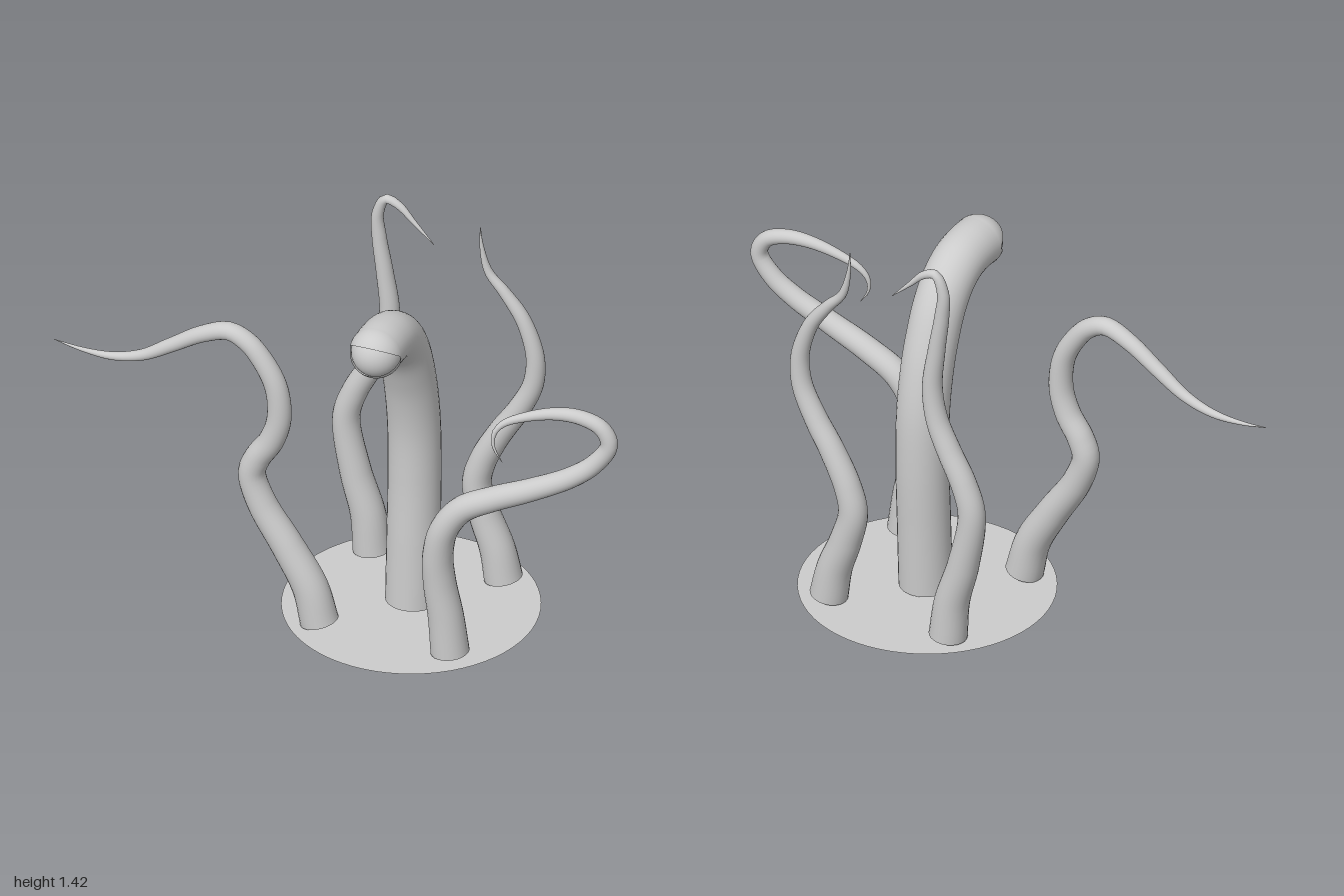
import * as THREE from 'three';

const material = new THREE.MeshStandardMaterial({ color: 0xcccccc });
const thin = new THREE.MeshStandardMaterial({ color: 0xcccccc, side: THREE.DoubleSide });

// Radius along a tentacle: [fraction of length, radius]
const TAPER = [[0, 0.065], [0.12, 0.057], [0.29, 0.047], [0.45, 0.041], [0.6, 0.034],
  [0.78, 0.024], [0.9, 0.013], [1, 0.001]];

function radiusAt(profile, u) {
  let i = 1;
  while (i < profile.length - 1 && u > profile[i][0]) i++;
  const [u0, r0] = profile[i - 1], [u1, r1] = profile[i];
  return THREE.MathUtils.lerp(r0, r1, (u - u0) / (u1 - u0));
}

// Smooth tube whose rings follow a radius profile
function taperedTube(name, points, profile, segments = 90, sides = 24) {
  const curve = new THREE.CatmullRomCurve3(points.map(p => new THREE.Vector3(...p)), false, 'centripetal');
  const geo = new THREE.TubeGeometry(curve, segments, 1, sides, false);
  const pos = geo.attributes.position, nor = geo.attributes.normal;
  const n = new THREE.Vector3();
  for (let i = 0; i <= segments; i++) {
    const centre = curve.getPointAt(i / segments);
    const r = radiusAt(profile, i / segments);
    for (let j = 0; j <= sides; j++) {
      const k = i * (sides + 1) + j;
      n.fromBufferAttribute(nor, k).multiplyScalar(r).add(centre);
      pos.setXYZ(k, n.x, n.y, n.z);
    }
  }
  const mesh = new THREE.Mesh(geo, thin);
  mesh.name = name;
  return mesh;
}

// Paths that lie in one plane of constant z
const flat = (z, pts) => pts.map(([x, y]) => [x, y, z]);

export function createModel() {
  const group = new THREE.Group();
  group.name = 'tentacles';

  // Flat round base
  const base = new THREE.Mesh(new THREE.CircleGeometry(0.43, 64).rotateX(-Math.PI / 2), thin);
  base.name = 'baseDisc';
  base.position.x = 0.18;
  group.add(base);

  // Front tentacle reaching out to the right
  group.add(taperedTube('frontRightTentacle', flat(0.23, [
    [-0.055, 0.015], [-0.088, 0.14], [-0.17, 0.285], [-0.26, 0.43], [-0.295, 0.54], [-0.275, 0.605],
    [-0.225, 0.685], [-0.198, 0.78], [-0.21, 0.9], [-0.26, 0.995], [-0.31, 1.05], [-0.375, 1.078],
    [-0.47, 1.045], [-0.58, 0.975], [-0.685, 0.91], [-0.79, 0.88], [-0.9, 0.88], [-1, 0.895]]), TAPER));

  // Front tentacle curling back on itself
  group.add(taperedTube('frontLeftTentacle', [
    [0.414, 0.015, 0.24], [0.4, 0.15, 0.242], [0.38, 0.285, 0.248], [0.377, 0.39, 0.255], [0.4, 0.5, 0.26],
    [0.46, 0.59, 0.255], [0.57, 0.655, 0.247], [0.7, 0.715, 0.235], [0.835, 0.785, 0.215],
    [0.915, 0.85, 0.2], [0.962, 0.93, 0.192], [0.935, 0.99, 0.194], [0.865, 1.02, 0.202],
    [0.78, 1.022, 0.215], [0.675, 0.995, 0.235], [0.605, 0.96, 0.25], [0.578, 0.92, 0.26],
    [0.58, 0.87, 0.265], [0.61, 0.82, 0.265]], TAPER));

  // Rear tentacles
  group.add(taperedTube('backLeftTentacle', flat(-0.24, [
    [0.412, 0.015], [0.39, 0.125], [0.345, 0.25], [0.318, 0.365], [0.34, 0.46], [0.4, 0.58], [0.465, 0.685],
    [0.515, 0.79], [0.527, 0.87], [0.52, 0.94], [0.48, 1.05], [0.415, 1.14], [0.36, 1.205],
    [0.335, 1.3], [0.33, 1.375]]), TAPER));
  group.add(taperedTube('backRightTentacle', flat(-0.24, [
    [-0.055, 0.015], [-0.07, 0.15], [-0.115, 0.31], [-0.147, 0.515], [-0.115, 0.625], [-0.055, 0.74],
    [-0.01, 0.845], [0.007, 0.965], [-0.01, 1.115], [-0.03, 1.25], [-0.035, 1.34], [-0.006, 1.405],
    [0.04, 1.39], [0.095, 1.335], [0.165, 1.265]]), TAPER));

  // Thick stalk bending forward
  group.add(taperedTube('eyeStalk', [
    [0.015, -0.01], [0.25, -0.02], [0.5, -0.03], [0.7, -0.025], [0.85, 0], [0.95, 0.03], [1.05, 0.073],
    [1.12, 0.125], [1.165, 0.19], [1.18, 0.26], [1.18, 0.32]].map(([y, z]) => [0.18, y, z]),
  [[0, 0.09], [1, 0.088]], 60, 32));

  // Eyeball at the end of the stalk, between two lids
  const eye = new THREE.Group();
  eye.name = 'eye';
  eye.position.set(0.18, 1.18, 0.31);
  const ball = new THREE.Mesh(new THREE.SphereGeometry(0.084, 32, 24), material);
  ball.name = 'eyeball';
  eye.add(ball);
  for (const [name, side] of [['upperLid', 1], ['lowerLid', -1]]) {
    // Sphere wedge with its poles on the x axis, from the slit edge to the stalk
    const start = side > 0 ? Math.PI / 2 + 0.65 : 0;
    const geo = new THREE.SphereGeometry(0.089, 16, 24, start, Math.PI / 2 - 0.65);
    geo.rotateZ(-Math.PI / 2);
    const lid = new THREE.Mesh(geo, thin);
    lid.name = name;
    // Swing the wedge about x so its middle faces up or down and forward
    geo.computeBoundingBox();
    const mid = start + (Math.PI / 2 - 0.65) / 2;
    const current = Math.atan2(Math.cos(mid), Math.sin(mid));
    const wanted = side * (Math.PI / 2 + 0.65) / 2;
    lid.rotation.x = current - wanted;
    eye.add(lid);
  }
  group.add(eye);
  return group;
}
